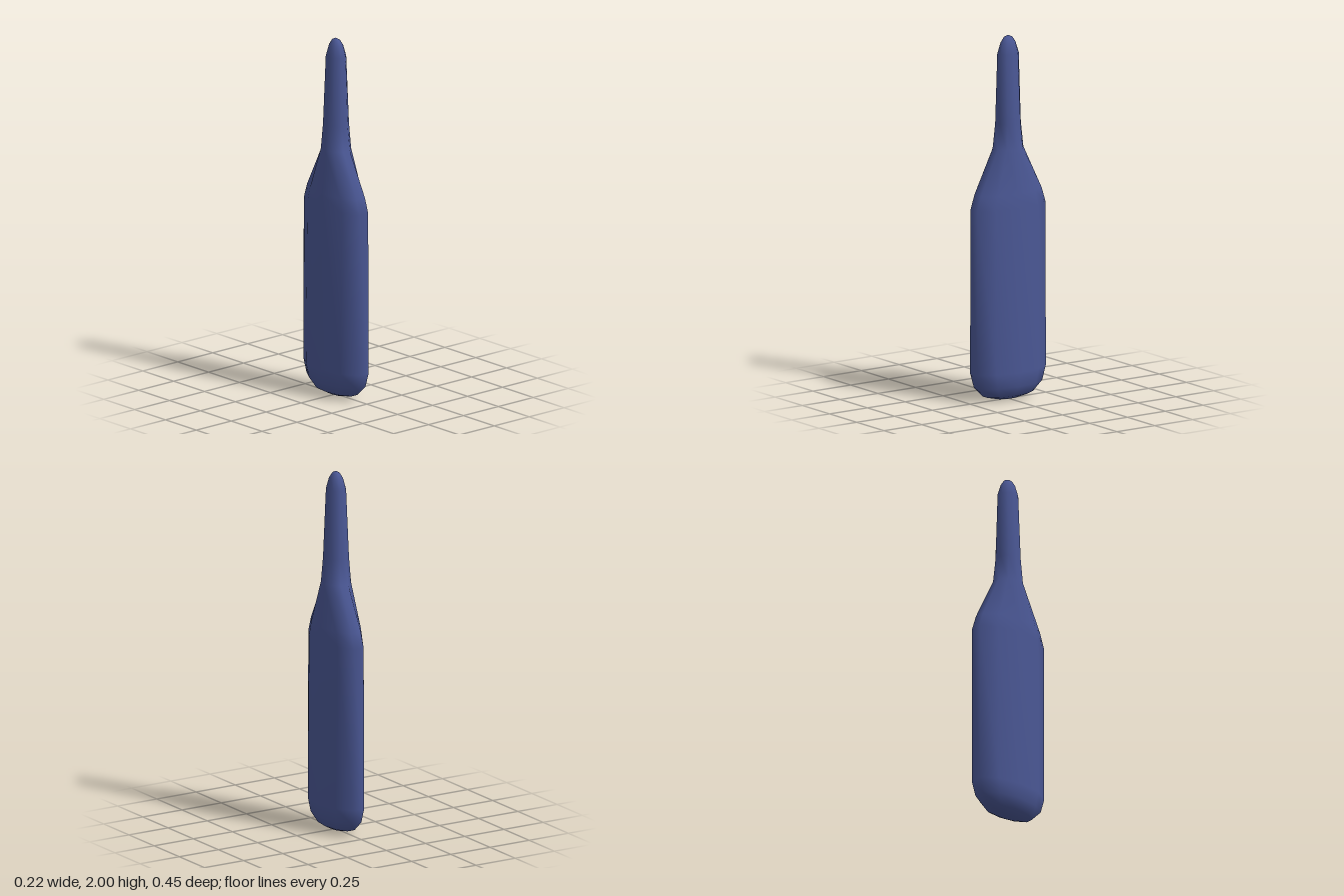
import * as THREE from 'three';
import { mergeVertices } from 'three/addons/utils/BufferGeometryUtils.js';

// Stations from toe to handle tip: [height, half thickness, half width]
const stations = [
  [0, 0, 0],
  [0.004, 0.03, 0.068],
  [0.025, 0.07, 0.158],
  [0.08, 0.1, 0.214],
  [0.16, 0.112, 0.237],
  [1.06, 0.101, 0.237],
  [1.14, 0.097, 0.211],
  [1.38, 0.077, 0.089],
  [1.52, 0.068, 0.073],
  [1.9, 0.05, 0.063],
  [1.96, 0.035, 0.044],
  [1.988, 0.019, 0.026],
  [2, 0, 0],
];
const SIDES = 10;

export function createModel() {
  const group = new THREE.Group();
  group.name = 'paddleBat';

  // A ten-sided lathe, with each ring stretched into an ellipse
  const profile = stations.map(([y]) => new THREE.Vector2(1, y));
  let geometry = new THREE.LatheGeometry(profile, SIDES, Math.PI / 2);
  const pos = geometry.attributes.position;
  for (let i = 0; i < pos.count; i++) {
    const [y, rx, rz] = stations[i % stations.length];
    pos.setXYZ(i, pos.getX(i) * rx, y, pos.getZ(i) * rz);
  }

  // Weld the seam and the ends so the shading is smooth all round
  geometry.deleteAttribute('normal');
  geometry.deleteAttribute('uv');
  geometry = mergeVertices(geometry, 1e-5);
  geometry.computeVertexNormals();

  const bat = new THREE.Mesh(geometry, new THREE.MeshStandardMaterial({ color: 0x4a5794 }));
  bat.name = 'bladeAndHandle';
  group.add(bat);
  return group;
}
